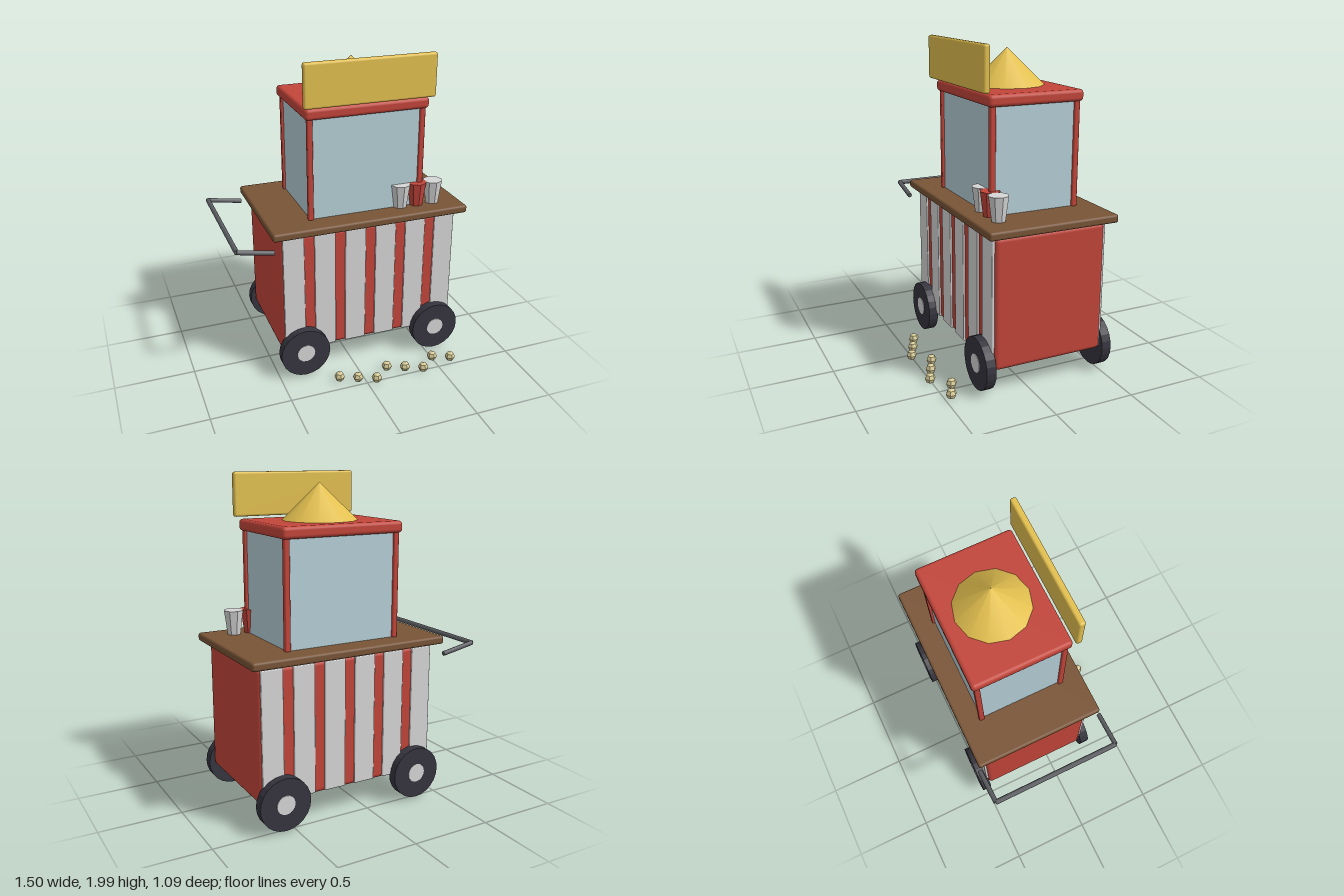
import * as THREE from 'three';
import { RoundedBoxGeometry } from 'three/addons/geometries/RoundedBoxGeometry.js';

const CX = 0.115, CZ = -0.12; // centre of the cart body

function material(name, color, flat = false) {
  const m = new THREE.MeshStandardMaterial({ color });
  m.name = name;
  m.flatShading = flat;
  return m;
}

export function createModel() {
  const model = new THREE.Group();
  model.name = 'snackCart';

  const red = material('red', 0xc2453a);
  const white = material('white', 0xd6d6d6);
  const wood = material('wood', 0x785436);
  const yellow = material('yellow', 0xe3c04f);
  const glass = material('glass', 0xb6d0d7);
  const rubber = material('rubber', 0x36353f);
  const metal = material('metal', 0x5c5e62);
  const cream = material('cream', 0xd8cc98, true);

  function add(name, geometry, mat, x, y, z) {
    const mesh = new THREE.Mesh(geometry, mat);
    mesh.name = name;
    mesh.position.set(x, y, z);
    model.add(mesh);
    return mesh;
  }
  const box = (name, mat, w, h, d, r, x, y, z) =>
    add(name, new RoundedBoxGeometry(w, h, d, 2, r), mat, x, y, z);

  // Flat-sided cylinder
  const faceted = (...args) => {
    const g = new THREE.CylinderGeometry(...args).toNonIndexed();
    g.computeVertexNormals();
    return g;
  };

  // Rod between two points
  function rod(name, a, b, radius) {
    const dir = b.clone().sub(a);
    const mid = a.clone().add(b).multiplyScalar(0.5);
    const mesh = add(name, new THREE.CylinderGeometry(radius, radius, dir.length(), 8), metal, mid.x, mid.y, mid.z);
    mesh.quaternion.setFromUnitVectors(new THREE.Vector3(0, 1, 0), dir.normalize());
  }

  // Body and counter
  box('body', red, 1.165, 0.805, 0.71, 0.03, CX, 0.572, CZ);
  box('counter', wood, 1.27, 0.05, 0.823, 0.015, CX, 1.003, CZ);

  // Stripes on the front and back
  for (const side of [1, -1]) {
    for (let i = 0; i < 6; i++) {
      box('stripe', white, 0.135, 0.785, 0.02, 0.006, CX + (i - 2.5) * 0.2, 0.573, CZ + side * 0.356);
    }
  }

  // Glass case with corner posts, roof and peak
  add('glassCase', new THREE.BoxGeometry(0.72, 0.64, 0.54), glass, CX, 1.345, CZ);
  for (const sx of [1, -1]) {
    for (const sz of [1, -1]) {
      box('post', red, 0.034, 0.64, 0.034, 0.008, CX + sx * 0.359, 1.345, CZ + sz * 0.269);
    }
  }
  box('roof', red, 0.785, 0.07, 0.605, 0.022, CX, 1.69, CZ);
  add('roofPeak', new THREE.ConeGeometry(0.225, 0.22, 12), yellow, CX, 1.835, CZ);
  box('signBoard', yellow, 0.823, 0.265, 0.04, 0.014, CX, 1.8675, 0.204);

  // Wheels with hubs
  for (const x of [-0.335, 0.565]) {
    for (const side of [1, -1]) {
      const wheel = add('wheel', faceted(0.16, 0.16, 0.06, 24), rubber, x, 0.177, CZ + side * 0.385);
      const hub = add('hub', faceted(0.058, 0.058, 0.066, 16), white, x, 0.177, CZ + side * 0.385);
      wheel.rotation.x = hub.rotation.x = Math.PI / 2;
    }
  }

  // Push handle
  const barEnd = (s) => new THREE.Vector3(-0.739, 0.957, CZ + s * 0.407);
  for (const s of [1, -1]) {
    rod('handleArm', barEnd(s), new THREE.Vector3(-0.517, 0.917, CZ + s * 0.412), 0.015);
  }
  rod('handleBar', barEnd(1), barEnd(-1), 0.016);

  // Paper cups
  [white, red, white].forEach((mat, i) => {
    add('cup', faceted(0.062, 0.042, 0.15, 8), mat, 0.346 + i * 0.11, 1.102, 0.153);
  });

  // Kernels scattered on the ground
  for (let i = 0; i < 8; i++) {
    const kernel = add('kernel', new THREE.SphereGeometry(0.033, 6, 4), cream,
      -0.157 + i * 0.108, 0.039, 0.417 + (i % 3) * 0.046);
    kernel.rotation.y = Math.PI / 6;
  }

  return model;
}
